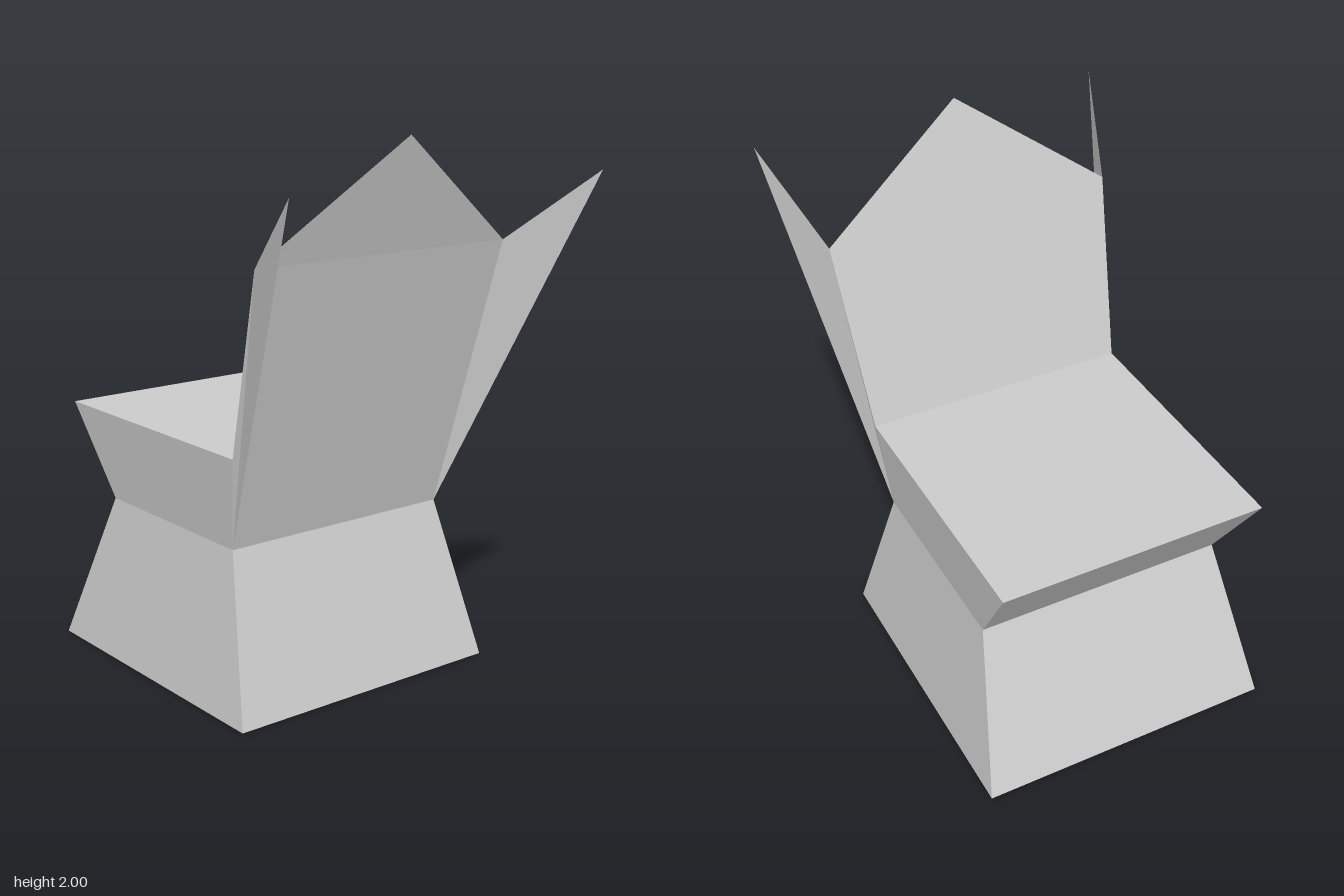
import * as THREE from 'three';

const stone = new THREE.MeshStandardMaterial({ color: 0xcccccc, side: THREE.DoubleSide });
stone.name = 'light grey';

// Flat-shaded mesh from convex polygons, each a list of [x, y, z] corners
function facets(name, polygons) {
  const points = [];
  for (const p of polygons) {
    for (let i = 1; i < p.length - 1; i++) points.push(...p[0], ...p[i], ...p[i + 1]);
  }
  const geometry = new THREE.BufferGeometry();
  geometry.setAttribute('position', new THREE.Float32BufferAttribute(points, 3));
  geometry.computeVertexNormals();
  const mesh = new THREE.Mesh(geometry, stone);
  mesh.name = name;
  return mesh;
}

// Horizontal rectangle, counter-clockwise from above
const ring = (x, y, zMin, zMax) => [[-x, y, zMax], [x, y, zMax], [x, y, zMin], [-x, y, zMin]];

// Wall i joining two rings, facing outwards
const wall = (a, b, i) => {
  const j = (i + 1) % 4;
  return [a[i], a[j], b[j], b[i]];
};

export function createModel() {
  const group = new THREE.Group();
  group.name = 'chair';

  const foot = ring(0.56, 0, -0.79, 0.38);
  const waist = ring(0.468, 0.59, -0.555, 0.205);
  const seat = ring(0.5, 0.93, -0.78, 0.255);
  const shoulders = [[-0.548, 1.6, 0.45], [0.548, 1.6, 0.45]];
  const peak = [0, 2, 0.565];

  // Tapered base, open underneath
  group.add(facets('base', [0, 1, 2, 3].map((i) => wall(foot, waist, i))));

  // Flared seat block; the backrest closes its rear
  group.add(facets('seat', [...[1, 2, 3].map((i) => wall(waist, seat, i)), seat]));

  // Backrest: pointed inner panel, outer panel rising from the waist, thin sides
  group.add(facets('backrest', [
    [seat[1], seat[0], shoulders[0], peak, shoulders[1]],
    [waist[0], waist[1], shoulders[1], shoulders[0]],
    [waist[1], seat[1], shoulders[1]],
    [seat[0], waist[0], shoulders[0]],
  ]));

  // Triangular wings swept out and back
  for (const side of [1, -1]) {
    const corner = side > 0 ? 1 : 0;
    const tip = [side * 0.673, 1.865, 0.79];
    const outline = [waist[corner], shoulders[corner], tip];
    group.add(facets(side > 0 ? 'leftWing' : 'rightWing', [side > 0 ? outline.reverse() : outline]));
  }

  return group;
}
